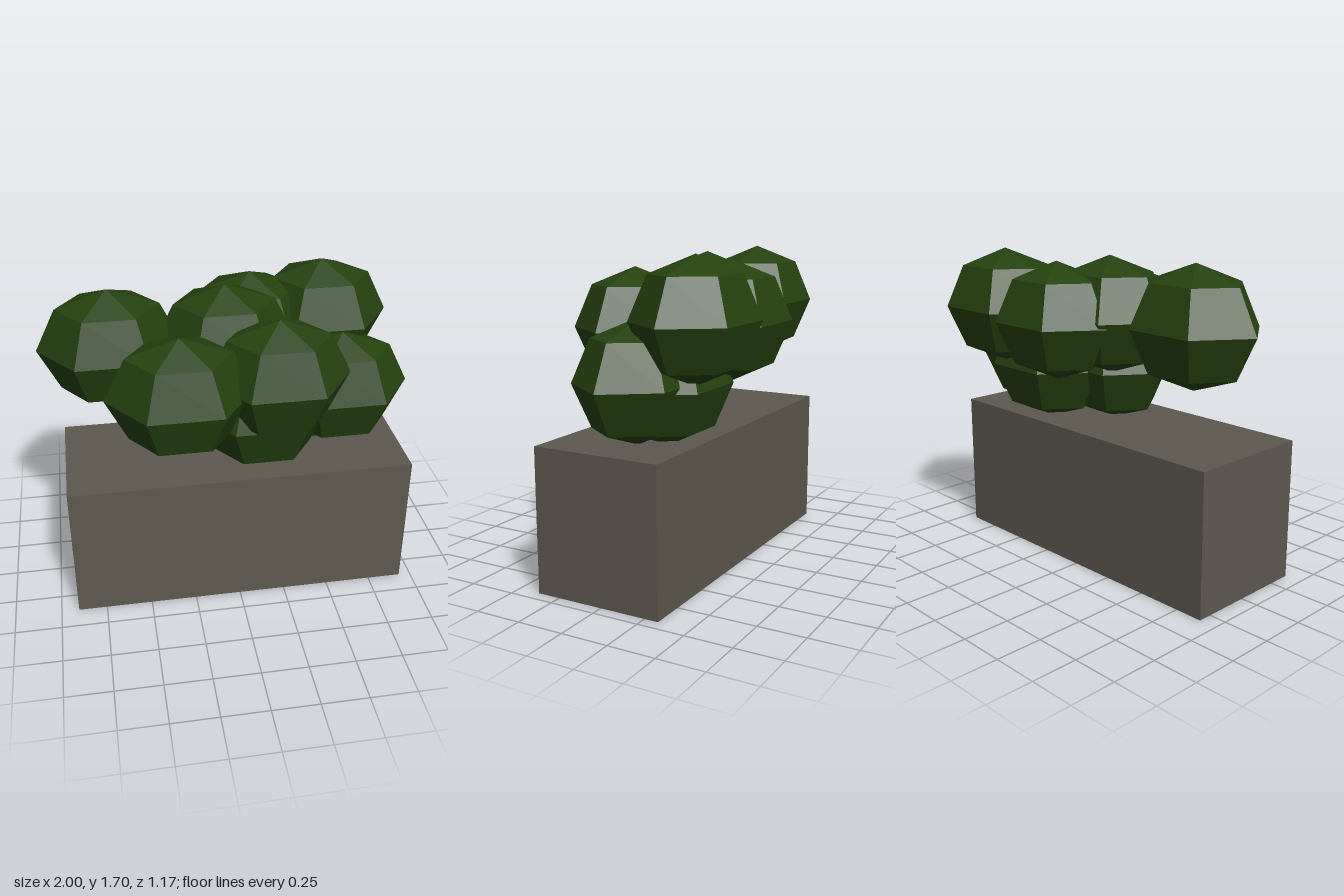
import * as THREE from 'three';

export function createModel() {
  const model = new THREE.Group();
  model.name = 'planter';

  const stone = new THREE.MeshStandardMaterial({ color: 0x5e584f });
  stone.name = 'stone';
  const foliage = new THREE.MeshStandardMaterial({ color: 0x25420f });
  foliage.name = 'foliage';

  // Stone block
  const block = new THREE.Mesh(new THREE.BoxGeometry(1.84, 0.765, 0.7), stone);
  block.name = 'planterBox';
  block.position.set(0.015, 0.3825, 0.025);
  model.add(block);

  // Low-poly leaf clump: six sides, four bands, non-indexed for flat facets
  const clumpGeometry = new THREE.SphereGeometry(1, 6, 4).scale(0.38, 0.316, 0.306).toNonIndexed();
  clumpGeometry.computeVertexNormals();

  const centres = [
    [-0.62, 1.377, -0.085],
    [-0.3, 1.27, 0.315],
    [0.215, 1.29, 0.235],
    [0.56, 1.38, -0.32],
    [-0.015, 1.367, -0.075],
    [0.155, 1.34, -0.3],
    [0.62, 1.07, -0.03],
    [0.16, 1.045, 0.12],
    [0.44, 1.04, -0.105],
  ];
  const shrub = new THREE.Group();
  shrub.name = 'shrub';
  centres.forEach((c, i) => {
    const clump = new THREE.Mesh(clumpGeometry, foliage);
    clump.name = `leafClump${i + 1}`;
    clump.position.set(...c);
    shrub.add(clump);
  });
  model.add(shrub);

  return model;
}
